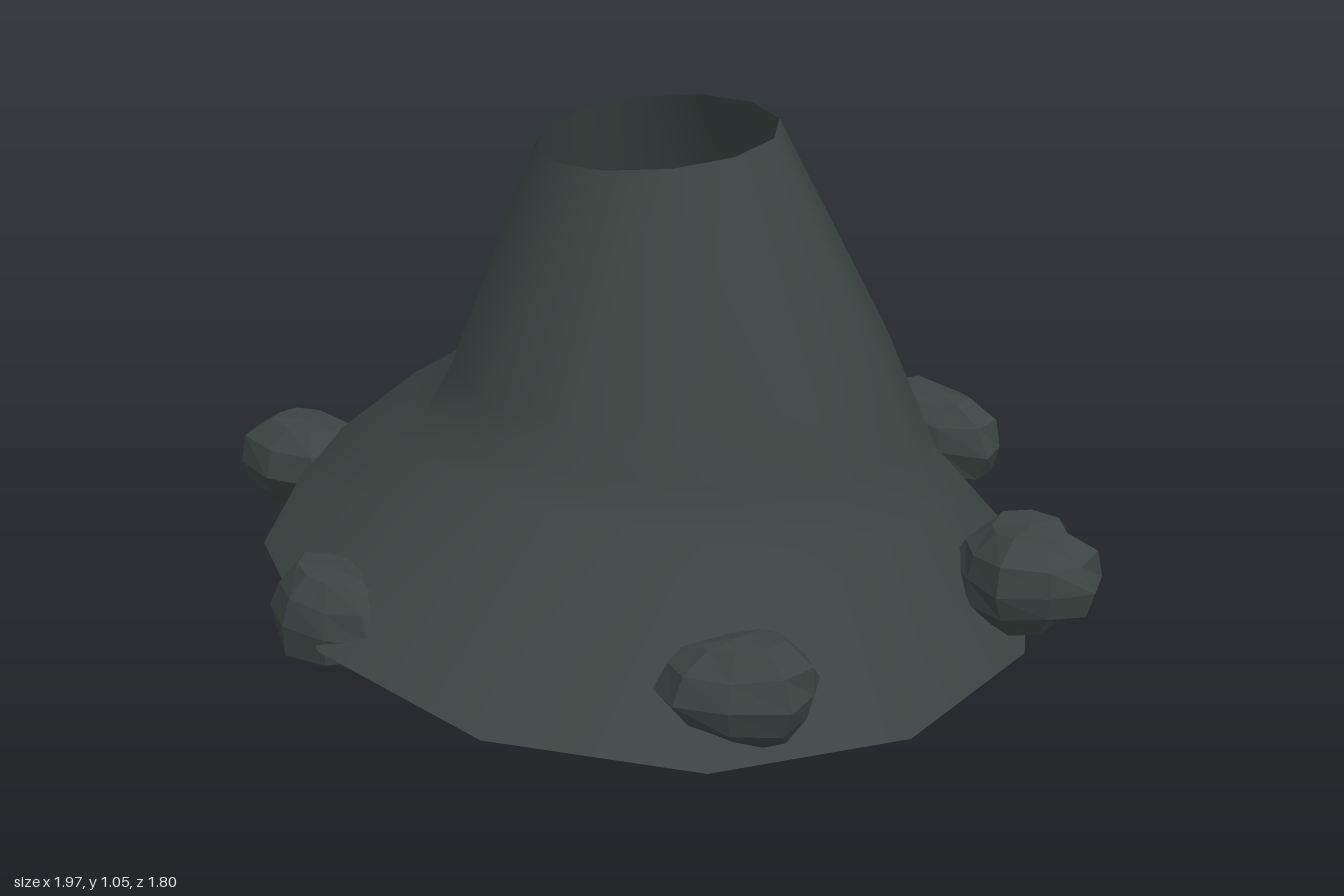
import * as THREE from 'three';

const SIDES = 12;

// Each ring: reach to -x, reach to +x, reach in z, then height at -x, at the middle and at +x
const RINGS = [
  [0.81, 0.83, 0.90, 0.20, 0.10, 0.00], // rim
  [0.56, 0.63, 0.55, 0.42, 0.43, 0.28], // foot of the slope
  [0.485, 0.57, 0.52, 0.415, 0.49, 0.42], // ledge
  [0.41, 0.50, 0.48, 0.56, 0.58, 0.59], // shoulder
  [0.24, 0.26, 0.27, 1.02, 1.04, 1.055], // mouth
];

function ringPoint([xm, xp, zr, ym, y0, yp], i) {
  const a = (i / SIDES) * Math.PI * 2;
  const c = Math.cos(a), s = Math.sin(a);
  const y = y0 + ((yp - ym) / 2) * c + ((yp + ym) / 2 - y0) * c * c;
  return [c * (c > 0 ? xp : xm), y, s * zr];
}

function surface(points, index) {
  const g = new THREE.BufferGeometry();
  g.setAttribute('position', new THREE.Float32BufferAttribute(points.flat(), 3));
  g.setIndex(index);
  g.computeVertexNormals();
  return g;
}

function mountainGeometry() {
  const points = [], index = [];
  RINGS.forEach((ring, r) => {
    for (let i = 0; i < SIDES; i++) {
      points.push(ringPoint(ring, i));
      if (r === RINGS.length - 1) continue;
      const a = r * SIDES + i, b = r * SIDES + (i + 1) % SIDES;
      index.push(a, a + SIDES, b, b, a + SIDES, b + SIDES);
    }
  });
  return surface(points, index);
}

function floorGeometry() {
  const points = [[0, 0.1, 0]], index = [];
  for (let i = 0; i < SIDES; i++) {
    points.push(ringPoint(RINGS[0], i));
    index.push(0, 1 + (i + 1) % SIDES, 1 + i);
  }
  return surface(points, index);
}

// Lumpy boulder: a coarse ball whose vertices are pushed in and out by a rule
function boulderGeometry(seed) {
  const g = new THREE.SphereGeometry(1, 9, 6);
  const p = g.attributes.position, v = new THREE.Vector3();
  for (let i = 0; i < p.count; i++) {
    v.fromBufferAttribute(p, i);
    const lump = 1 + 0.08 * Math.sin(4 * v.x + seed * 2.1) + 0.07 * Math.sin(5 * v.z + 3 * v.y + seed * 1.3);
    v.multiplyScalar(lump);
    p.setXYZ(i, v.x, THREE.MathUtils.clamp(v.y, -0.98, 0.95), v.z);
  }
  g.computeVertexNormals();
  return g;
}

export function createModel() {
  const model = new THREE.Group();
  model.name = 'craterMountain';

  const rock = new THREE.MeshStandardMaterial({ color: 0x3b4442, side: THREE.DoubleSide });
  rock.name = 'dark rock';
  const facetedRock = rock.clone();
  facetedRock.flatShading = true;
  facetedRock.name = 'dark faceted rock';

  const add = (name, geometry, material) => {
    const mesh = new THREE.Mesh(geometry, material);
    mesh.name = name;
    model.add(mesh);
    return mesh;
  };

  add('mountainSlope', mountainGeometry(), rock);
  add('mountainFloor', floorGeometry(), rock);

  // Small round vent lying on the tilted floor
  const vent = add('vent', new THREE.CylinderGeometry(0.085, 0.085, 0.006, 24), rock);
  vent.position.set(0, 0.104, 0);
  vent.rotation.z = -0.12;

  // Boulders around the rim: x, y, z, half length, half depth, turn
  const boulders = [
    [0.825, 0.18, -0.01, 0.165, 0.13, 0],
    [-0.825, 0.165, 0, 0.165, 0.125, -0.15],
    [0.43, 0.17, 0.645, 0.165, 0.11, 0.4],
    [-0.43, 0.17, 0.66, 0.165, 0.105, -0.45],
    [0.435, 0.17, -0.65, 0.17, 0.105, -0.35],
    [-0.45, 0.165, -0.67, 0.145, 0.1, 0.2],
  ];
  boulders.forEach(([x, y, z, length, depth, turn], i) => {
    const boulder = add('boulder' + (i + 1), boulderGeometry(i + 1), facetedRock);
    boulder.position.set(x, y, z);
    boulder.scale.set(length, 0.115, depth);
    boulder.rotation.y = turn;
  });

  return model;
}
